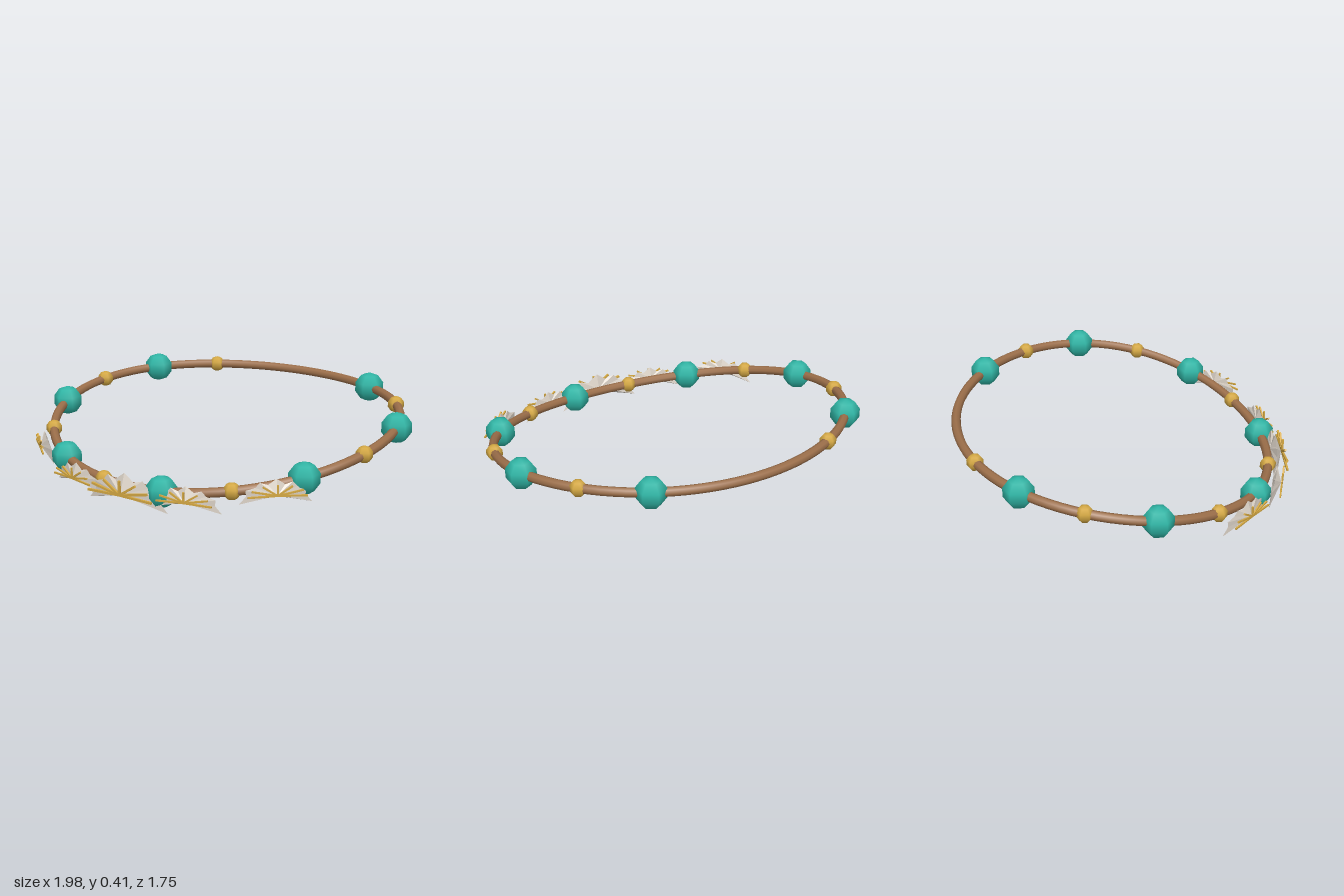
import * as THREE from 'three';

const mat = (color, extra = {}) => new THREE.MeshStandardMaterial({ color, ...extra });
const cordMat = mat(0x9c6f4a);
const tealMat = mat(0x2fb5a5);
const goldMat = mat(0xd4a843);
const shellMat = mat(0xd8cfc4, { side: THREE.DoubleSide, flatShading: true });

// Tilted oval that the beads are strung on, starting at the back
class CordCurve extends THREE.Curve {
  getPoint(t, target = new THREE.Vector3()) {
    const a = t * Math.PI * 2, c = Math.cos(a);
    return target.set(0.945 * Math.sin(a), 0.2325 + 0.1245 * c + 0.06 * (1 - c * c), -0.04 - 0.815 * c);
  }
}

function named(geometry, material, name) {
  const mesh = new THREE.Mesh(geometry, material);
  mesh.name = name;
  return mesh;
}

// Scalloped fan: a jagged rim joined to a raised front hub and a flatter back hub
function shellGeometry() {
  const half = [[0, 0.1], [0.055, 0.06], [0.105, 0.075], [0.135, 0.042], [0.195, 0.022], [0.19, -0.015], [0.235, -0.07], [0.1, -0.035]];
  const rim = [
    ...half,
    [0, -0.015],
    ...half.slice(1).reverse().map(([x, y]) => [-x, y]),
  ].map(([x, y]) => [x, y, -0.035 - 0.1 * x * x / 0.2]);
  const pos = [];
  rim.forEach((p, i) => {
    const q = rim[(i + 1) % rim.length];
    pos.push(0, 0, 0, ...q, ...p);
    pos.push(0, 0.02, -0.06, ...p, ...q);
  });
  const g = new THREE.BufferGeometry();
  g.setAttribute('position', new THREE.Float32BufferAttribute(pos, 3));
  g.computeVertexNormals();
  return g;
}

// Shell with gold ribs radiating over its front
function makeShell(geometry) {
  const shell = new THREE.Group();
  shell.name = 'shellCharm';
  shell.add(named(geometry, shellMat, 'shell'));
  for (let i = 0; i <= 6; i++) {
    const a = i * Math.PI / 6;
    const x = 0.19 * Math.cos(a), y = 0.076 * Math.sin(a) - 0.005;
    const length = Math.hypot(x, y);
    const rib = named(new THREE.BoxGeometry(length, 0.011, 0.011), goldMat, 'rib');
    rib.position.set(x / 2, y / 2, 0.006);
    rib.rotation.z = Math.atan2(y, x);
    shell.add(rib);
  }
  return shell;
}

export function createModel() {
  const model = new THREE.Group();
  model.name = 'necklace';
  const curve = new CordCurve();
  model.add(named(new THREE.TubeGeometry(curve, 96, 0.024, 8, true), cordMat, 'cord'));

  // Alternating large and small faceted beads, with a gap at the back
  const largeBead = new THREE.SphereGeometry(0.08, 6, 5).rotateY(Math.PI / 2);
  const smallBead = new THREE.SphereGeometry(0.044, 6, 5).rotateY(Math.PI / 2);
  for (let i = 0; i < 14; i++) {
    const large = i % 2 === 0;
    const bead = named(large ? largeBead : smallBead, large ? tealMat : goldMat, large ? 'largeBead' : 'smallBead');
    bead.position.copy(curve.getPointAt((i + 1.5) / 16));
    model.add(bead);
  }

  // Five shells across the front, shrinking toward the sides
  const geometry = shellGeometry();
  const spots = [
    [0, 0.09, 0.858, 0, 1],
    [0.335, 0.1, 0.808, 0.22, 0.74],
    [0.72, 0.15, 0.602, 0.73, 0.74],
  ];
  for (const [x, y, z, turn, size] of spots) {
    for (const side of x ? [1, -1] : [1]) {
      const shell = makeShell(geometry);
      shell.position.set(x * side, y, z);
      shell.rotation.y = turn * side;
      shell.scale.setScalar(size);
      model.add(shell);
    }
  }
  return model;
}
